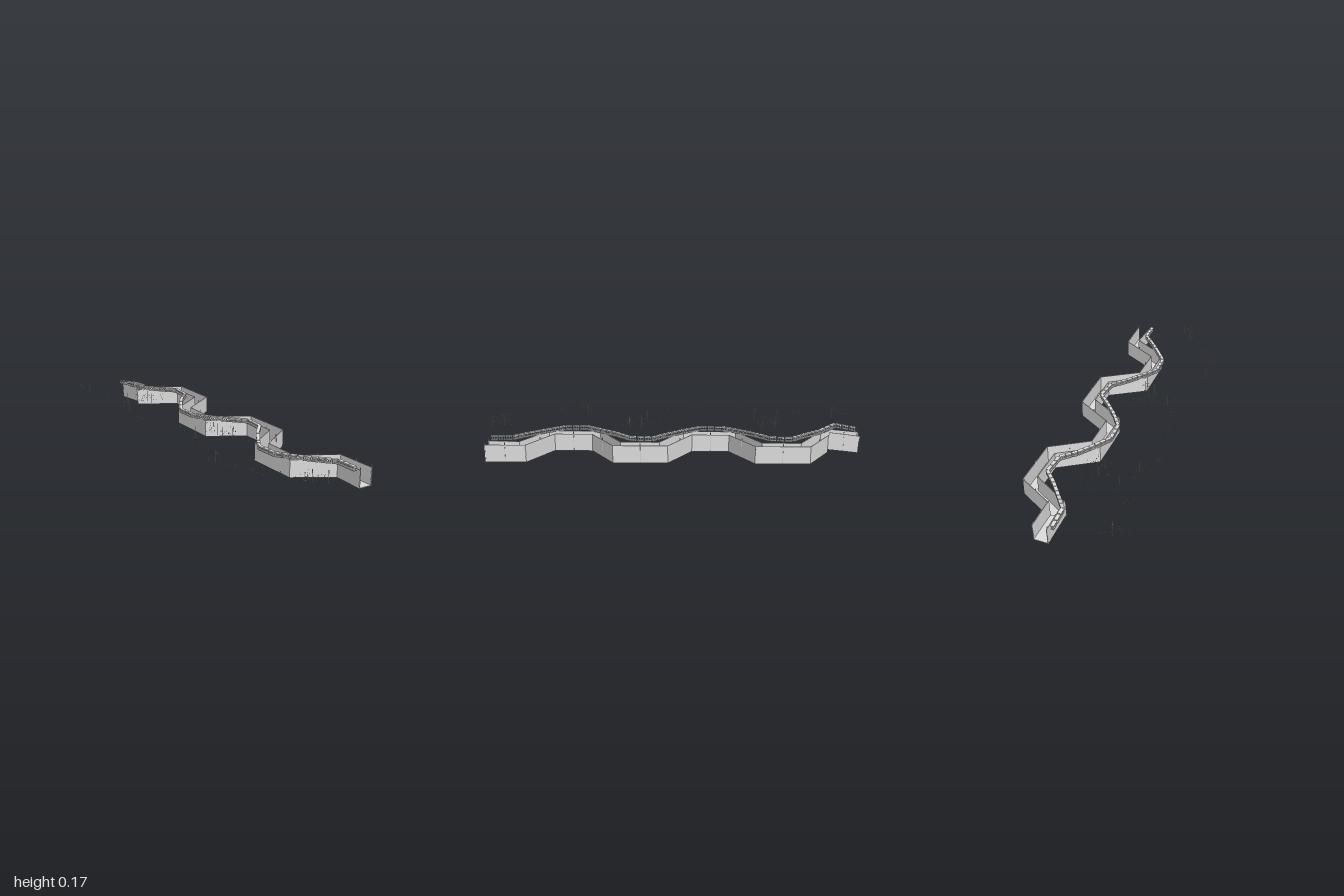
import * as THREE from 'three';
import { mergeGeometries } from 'three/addons/utils/BufferGeometryUtils.js';

export function createModel() {
  const model = new THREE.Group();
  const concrete = new THREE.MeshStandardMaterial({ color: 0xdedede });
  concrete.name = 'light concrete';
  const V = (x, y, z) => new THREE.Vector3(x, y, z);
  const add = (name, parts) => {
    const mesh = new THREE.Mesh(mergeGeometries(parts), concrete);
    mesh.name = name;
    model.add(mesh);
  };
  // box of width w and height h running from a to b
  const beam = (a, b, w, h) => {
    const o = new THREE.Object3D();
    o.position.copy(a).add(b).multiplyScalar(0.5);
    o.lookAt(b);
    o.updateMatrix();
    return new THREE.BoxGeometry(w, h, a.distanceTo(b)).applyMatrix4(o.matrix);
  };
  const box = (x, y, z, w, h, d) => new THREE.BoxGeometry(w, h, d).translate(x, y, z);

  // both edges of the zigzag channel, as [x, z]
  const right = [[-.49, -1], [-.4, -.84], [-.14, -.845], [.03, -.58], [-.08, -.34], [.04, -.15],
    [.3, -.15], [.47, .115], [.36, .355], [.48, .55], [.74, .545], [.87, .745]];
  const left = [[-.565, -.96], [-.45, -.77], [-.17, -.77], [-.05, -.58], [-.16, -.34], [.01, -.07],
    [.27, -.07], [.39, .12], [.28, .355], [.45, .62], [.71, .62], [.8, .785]];
  const wallTop = 0.105, rise = 0.02;
  const lerp = (a, b, t) => [a[0] + (b[0] - a[0]) * t, a[1] + (b[1] - a[1]) * t];
  const isRightGap = i => [2, 3, 6, 7, 10].includes(i);
  const isLeftGap = i => [4, 8].includes(i);

  // floor slabs with small gaps at the outer corners; the first slab slopes upward
  const floors = [], walls = [], posts = [];
  const post = (x, z, lift) => posts.push(box(x, 0.06 + lift, z, 0.004, 0.118, 0.004));
  for (let i = 0; i < right.length - 1; i++) {
    const j = i + 1;
    const pull = (edge, from, to, gap) => gap ? lerp(edge[from], edge[to], 0.08) : edge[from];
    const outline = [
      pull(left, i, j, isLeftGap(i)), pull(left, j, i, isLeftGap(j)), lerp(left[j], right[j], 0.5),
      pull(right, j, i, isRightGap(j)), pull(right, i, j, isRightGap(i)), lerp(left[i], right[i], 0.5)];
    const shape = new THREE.Shape(outline.map(([x, z]) => new THREE.Vector2(x, -z)));
    const slab = new THREE.ExtrudeGeometry(shape, { depth: 0.004, bevelEnabled: false }).rotateX(-Math.PI / 2);
    const end = i === 0 ? rise : 0;
    if (end) {
      const p = slab.attributes.position;
      for (let k = 0; k < p.count; k++) p.setY(k, p.getY(k) + end * Math.max(0, (p.getZ(k) + 1) / 0.2));
      slab.computeVertexNormals();
    }
    floors.push(slab);

    // thin side walls, with a slim post halfway along each right-hand wall
    for (const edge of [left, right]) {
      const [a, b] = [edge[i], edge[j]];
      walls.push(beam(V(a[0], wallTop / 2, a[1]), V(b[0], wallTop / 2 + end, b[1]), 0.004, wallTop));
    }
    post(...lerp(right[i], right[j], 0.5), end / 2);
  }
  // posts at both open ends of the channel
  for (const edge of [left, right]) {
    post(...lerp(edge[0], edge[1], 0.02), 0);
    post(...lerp(edge[11], edge[10], 0.02), 0);
  }
  add('channelFloor', floors);
  add('channelWalls', walls);
  add('wallPosts', posts);

  // balustrade following the channel: caps, base rails and balusters
  const rail = [[-.585, -.94], [-.52, -.83], [-.4, -.78], [-.29, -.74], [-.18, -.71], [-.115, -.59],
    [-.14, -.48], [-.145, -.365], [-.145, -.25], [-.07, -.14], [.04, -.09], [.16, -.05], [.27, -.02],
    [.33, .1], [.31, .21], [.3, .33], [.295, .45], [.37, .56], [.49, .61], [.6, .65], [.7, .68], [.77, .79]];
  const rails = [], balusters = [];
  const lift = i => i === 1 ? 0.022 : 0;
  for (let i = 0; i < rail.length - 1; i++) {
    const pieces = 3;
    const at = (t, y) => {
      const [x, z] = lerp(rail[i], rail[i + 1], t);
      return V(x, y + lift(i) * (1 - t) + lift(i + 1) * t, z);
    };
    for (let k = 0; k < pieces; k++) {
      const a = (k + 0.05) / pieces, b = (k + 0.95) / pieces;
      rails.push(beam(at(a, 0.125), at(b, 0.125), 0.021, 0.008));
      rails.push(beam(at(a, 0.105), at(b, 0.105), 0.018, 0.006));
      for (const t of [0.12, 0.5, 0.88]) {
        const p = at(a + (b - a) * t, 0.114);
        balusters.push(box(p.x, p.y, p.z, 0.006, 0.015, 0.006));
      }
    }
  }
  add('balustradeRails', rails);
  add('balusters', balusters);

  // slender poles on the bank
  const poles = [[-.78, -.7], [-.5, -.45], [-.37, -.5], [-.34, -.43], [-.48, -.3], [-.06, .25],
    [.07, .2], [.1, .27], [.04, .65], [.16, .25], [.52, .93], [.6, .95]];
  add('bankPoles', poles.map(([x, z]) => box(x, 0.14, z, 0.003, 0.07, 0.003)));

  // sparse tiny plants scattered along the bank: [x, z, spreadX, spreadZ, count]
  let seed = 7;
  const rnd = () => (seed = (seed * 16807) % 2147483647) / 2147483647;
  const clumps = [[-.82, -.72, .05, .07, 18], [-.64, -.53, .07, .05, 8], [-.41, -.55, .04, .11, 22],
    [-.35, -.46, .09, .04, 22], [-.49, -.27, .03, .12, 10], [-.37, .0, .08, .1, 12],
    [-.18, .17, .06, .03, 6], [.03, .15, .03, .1, 20], [.1, .25, .08, .03, 20],
    [-.05, .33, .03, .08, 9], [.03, .65, .04, .1, 14], [.13, .78, .07, .05, 8],
    [.3, .88, .1, .06, 9], [.47, .91, .04, .07, 18], [.56, .96, .06, .03, 12]];
  const bits = [box(-.868, .14, -.77, .003, .005, .003), box(.43, .14, .997, .003, .005, .003)];
  for (const [cx, cz, sx, sz, n] of clumps) {
    for (let k = 0; k < n; k++) {
      const x = cx + (rnd() * 2 - 1) * sx, z = cz + (rnd() * 2 - 1) * sz;
      bits.push(box(x, 0.115 + rnd() * 0.05, z, 0.003, 0.005, 0.003));
    }
  }
  add('bankPlants', bits);
  return model;
}
